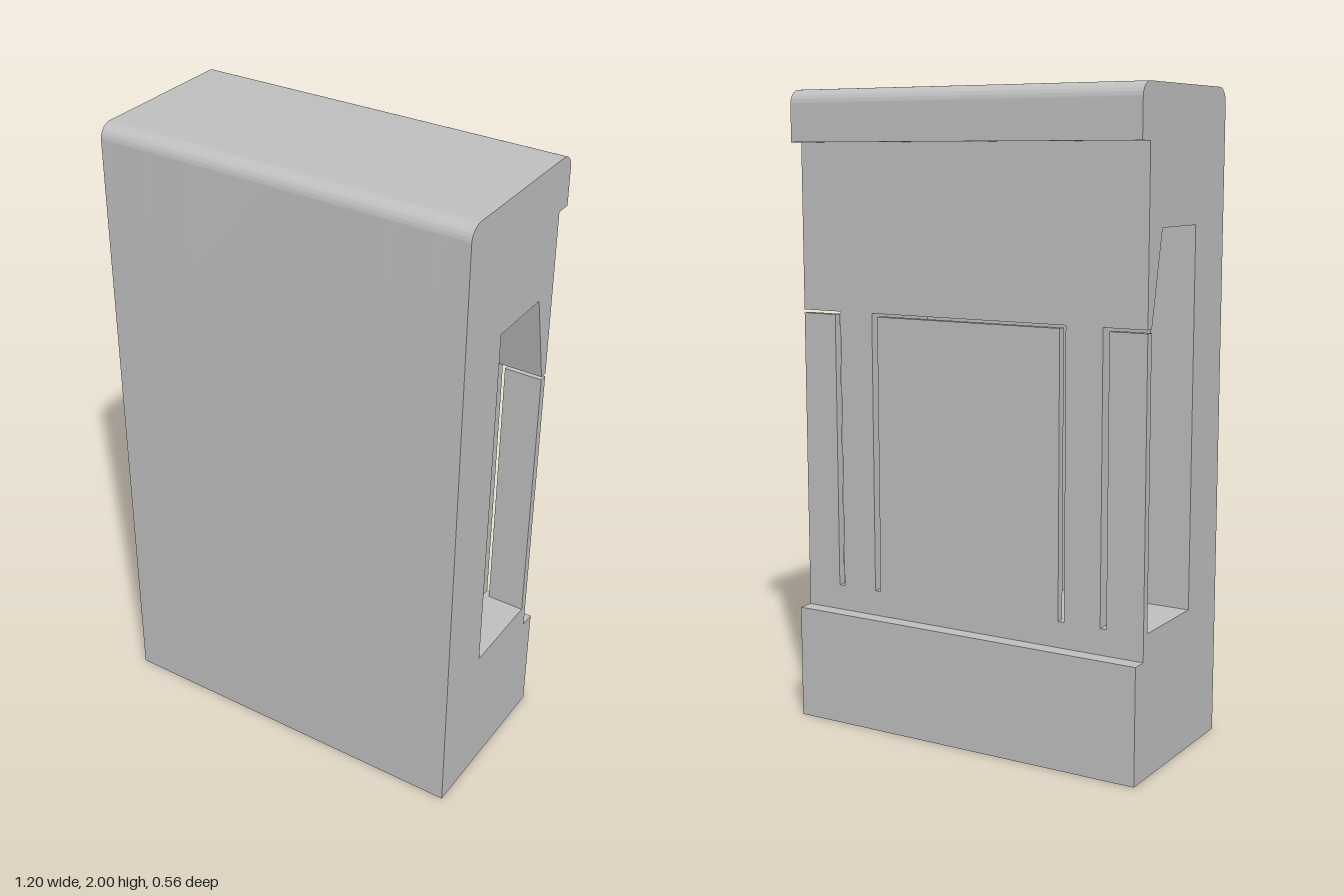
import * as THREE from 'three';
import { toCreasedNormals } from 'three/addons/utils/BufferGeometryUtils.js';

// Side outline: horizontal axis runs towards the back, vertical axis is up.
// The inset points run up the recessed back wall and cut the pocket into it.
function sideProfile(inset) {
  const r = 0.045, d = 0.28;
  const s = new THREE.Shape();
  s.moveTo(-d, 0);
  s.lineTo(d, 0);
  s.lineTo(d, 0.36);
  s.lineTo(0.23, 0.36);
  inset.forEach(([u, y]) => s.lineTo(u, y));
  s.lineTo(0.23, 1.84);
  s.lineTo(d, 1.84);
  s.lineTo(d, 2 - r);
  s.absarc(d - r, 2 - r, r, 0, Math.PI / 2, false);
  s.lineTo(-d + r, 2);
  s.absarc(-d + r, 2 - r, r, Math.PI / 2, Math.PI, false);
  s.closePath();
  return s;
}

export function createModel() {
  const group = new THREE.Group();
  group.name = 'clipHousing';
  const grey = new THREE.MeshStandardMaterial({ color: 0xc0c0c0 });
  grey.name = 'grey plastic';

  // Pocket walls from the floor to the sloped lip
  const pocket = [[-0.08, 0.44], [-0.08, 1.6], [0.145, 1.6], [0.205, 1.32], [0.23, 1.32]];
  const profiles = {
    rib: sideProfile([]),
    slot: sideProfile([[0.23, 0.44], ...pocket]),
    // thin spring tab, free at its top edge
    tab: sideProfile([[0.23, 1.31], [0.205, 1.31], [0.205, 0.44], ...pocket]),
  };

  // Slices across the width
  function slice(name, kind, x0, x1) {
    const geo = new THREE.ExtrudeGeometry(profiles[kind], {
      depth: x1 - x0, bevelEnabled: false, curveSegments: 10,
    });
    geo.rotateY(Math.PI / 2);
    geo.translate(x0, 0, 0);
    const mesh = new THREE.Mesh(toCreasedNormals(geo, 0.5), grey);
    mesh.name = name;
    group.add(mesh);
  }

  slice('centreTabSection', 'tab', -0.32, 0.32);
  const half = [
    ['InnerSlotSection', 'slot', 0.32, 0.34],
    ['RibSection', 'rib', 0.34, 0.46],
    ['OuterSlotSection', 'slot', 0.46, 0.48],
    ['SideTabSection', 'tab', 0.48, 0.6],
  ];
  for (const [name, kind, a, b] of half) {
    slice('left' + name, kind, a, b);
    slice('right' + name, kind, -b, -a);
  }
  return group;
}
